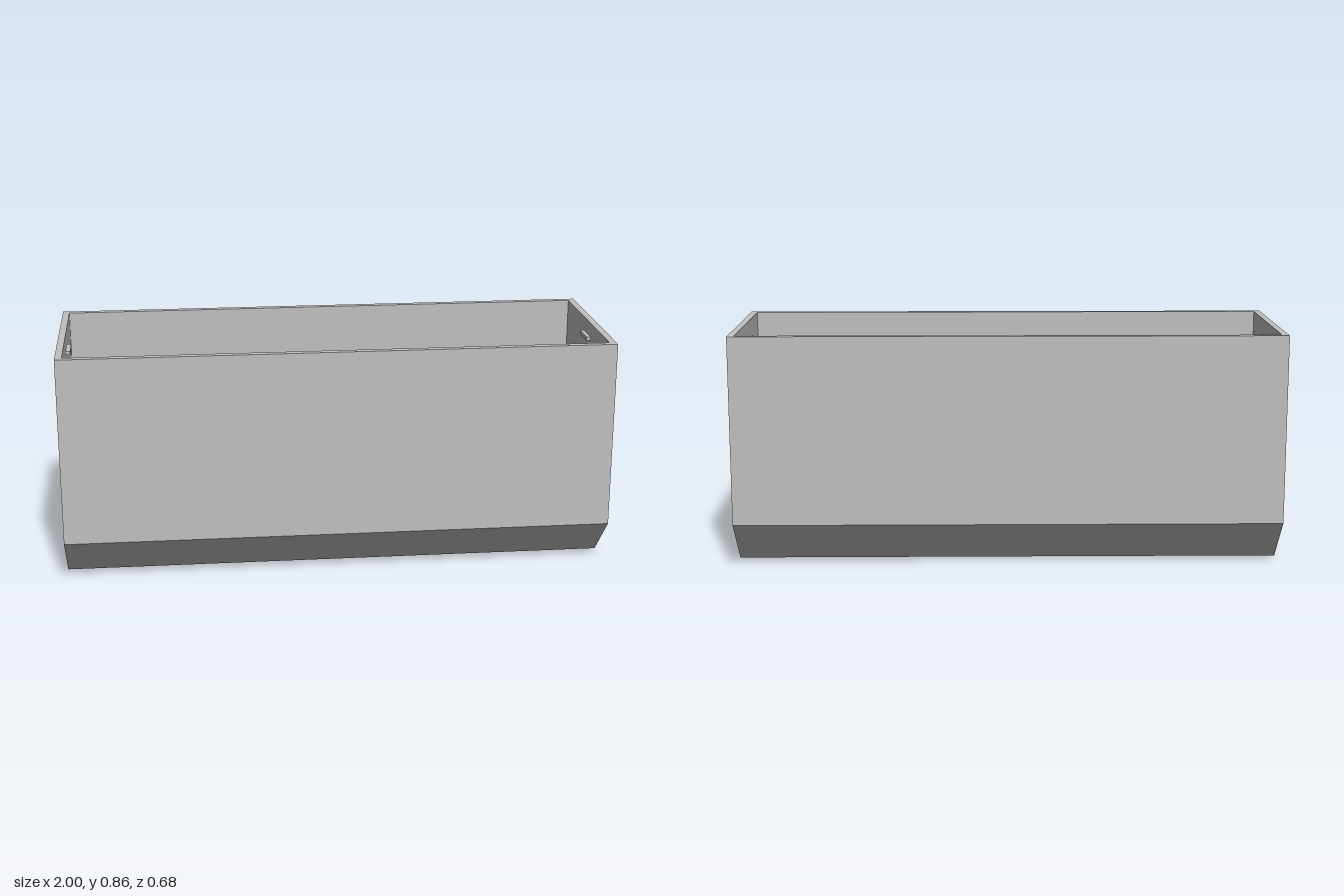
import * as THREE from 'three';

const TOP = 0.857, WALL = 0.025;
const OUTER = { length: 1, depth: 0.338, floorDepth: 0.172, bottom: 0, bend: 0.167 };
const INNER = { length: 1 - WALL, depth: 0.338 - WALL, floorDepth: 0.162, bottom: WALL, bend: 0.177 };

// Open-topped trough surface: five long panels and two six-sided ends
function troughGeometry({ length, depth, floorDepth, bottom, bend }, inward) {
  const profile = [
    [depth, TOP], [depth, bend], [floorDepth, bottom],
    [-floorDepth, bottom], [-depth, bend], [-depth, TOP],
  ];
  const positions = [];
  const at = (x, i) => [x, profile[i][1], profile[i][0]];
  const triangle = (a, b, c) => positions.push(...a, ...(inward ? c : b), ...(inward ? b : c));

  for (let i = 0; i < 5; i++) {
    triangle(at(-length, i), at(-length, i + 1), at(length, i + 1));
    triangle(at(-length, i), at(length, i + 1), at(length, i));
  }
  for (let i = 1; i < 5; i++) {
    triangle(at(length, 0), at(length, i), at(length, i + 1));
    triangle(at(-length, 0), at(-length, i + 1), at(-length, i));
  }
  const geometry = new THREE.BufferGeometry();
  geometry.setAttribute('position', new THREE.Float32BufferAttribute(positions, 3));
  geometry.computeVertexNormals();
  return geometry;
}

// Flat rectangular rim joining the outer and inner walls
function rimGeometry() {
  const corners = ({ length: l, depth: d }) =>
    [[-l, -d], [l, -d], [l, d], [-l, d]].map(([x, y]) => new THREE.Vector2(x, y));
  const shape = new THREE.Shape(corners(OUTER));
  shape.holes.push(new THREE.Path(corners(INNER).reverse()));
  return new THREE.ShapeGeometry(shape).rotateX(-Math.PI / 2).translate(0, TOP, 0);
}

export function createModel() {
  const group = new THREE.Group();
  group.name = 'trough';
  const grey = new THREE.MeshStandardMaterial({ color: 0xc0c0c0 });
  grey.name = 'light grey';

  const add = (name, geometry) => {
    const mesh = new THREE.Mesh(geometry, grey);
    mesh.name = name;
    group.add(mesh);
    return mesh;
  };

  add('outerShell', troughGeometry(OUTER, false));
  add('innerShell', troughGeometry(INNER, true));
  add('rim', rimGeometry());

  // Level marks on the inside of both ends: a short one above a long one
  for (const [side, label] of [[1, 'left'], [-1, 'right']]) {
    for (const [name, y, width] of [['UpperMark', 0.8, 0.1], ['LowerMark', 0.695, 0.205]]) {
      add(label + name, new THREE.BoxGeometry(0.02, 0.013, width))
        .position.set(side * (INNER.length - 0.006), y, 0);
    }
  }
  return group;
}
